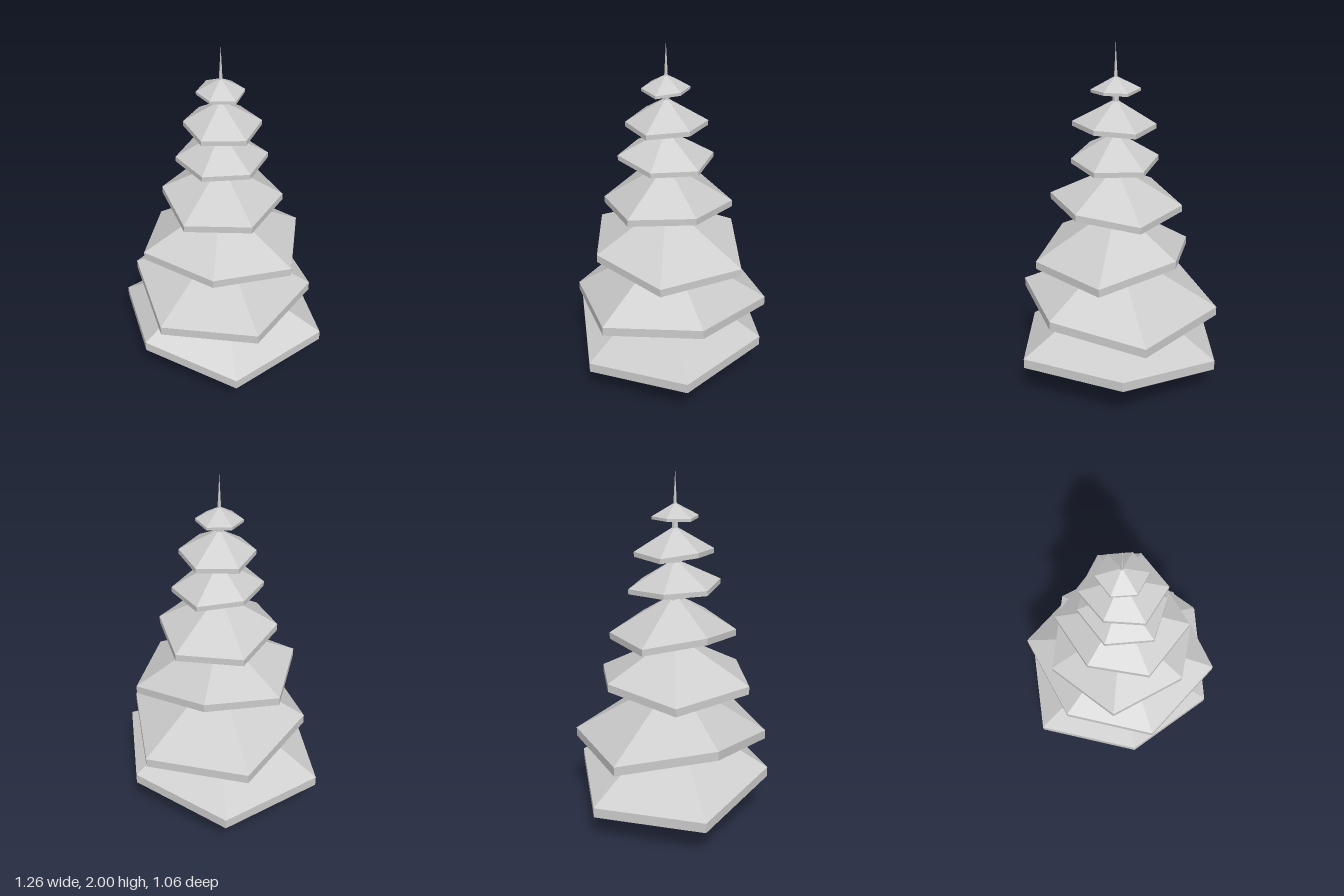
import * as THREE from 'three';

const material = new THREE.MeshStandardMaterial({ color: 0xcccccc, flatShading: true });

// One hollow six-sided bough layer: sloped top, thin rim, parallel underside.
// Each corner has its own reach (radii) and height (rimY).
function boughTier({ apex, thick, turn, radii, rimY }) {
  const n = radii.length;
  const top = [], low = [];
  for (let i = 0; i < n; i++) {
    const a = THREE.MathUtils.degToRad(turn + (i * 360) / n);
    const corner = new THREE.Vector3(radii[i] * Math.cos(a), rimY[i], radii[i] * Math.sin(a));
    top.push(corner);
    low.push(corner.clone().setY(rimY[i] - thick));
  }
  const tip = new THREE.Vector3(0, apex, 0);
  const innerTip = new THREE.Vector3(0, apex - thick, 0);
  const points = [];
  for (let i = 0; i < n; i++) {
    const j = (i + 1) % n;
    points.push(tip, top[j], top[i]);                             // upper slope
    points.push(top[i], top[j], low[j], top[i], low[j], low[i]);  // rim
    points.push(innerTip, low[i], low[j]);                        // underside
  }
  const geometry = new THREE.BufferGeometry().setFromPoints(points);
  geometry.computeVertexNormals();
  return new THREE.Mesh(geometry, material);
}

// Layers from the ground up; turn is the angle of the first corner from +x towards +z
const tiers = [
  { apex: 0.62, thick: 0.058, turn: 0,
    radii: [0.627, 0.577, 0.555, 0.637, 0.63, 0.577], rimY: [0.29, 0.24, 0.32, 0.24, 0.23, 0.29] },
  { apex: 0.83, thick: 0.053, turn: 48,
    radii: [0.57, 0.53, 0.51, 0.595, 0.581, 0.524], rimY: [0.55, 0.5, 0.58, 0.51, 0.49, 0.55] },
  { apex: 1.085, thick: 0.046, turn: 14.3,
    radii: [0.475, 0.428, 0.466, 0.44, 0.427, 0.493], rimY: [0.81, 0.85, 0.86, 0.82, 0.87, 0.81] },
  { apex: 1.325, thick: 0.038, turn: 43,
    radii: [0.376, 0.346, 0.325, 0.371, 0.366, 0.341], rimY: [1.14, 1.11, 1.155, 1.11, 1.1, 1.14] },
  { apex: 1.52, thick: 0.028, turn: 30,
    radii: [0.246, 0.264, 0.243, 0.235, 0.263, 0.259], rimY: [1.37, 1.39, 1.385, 1.38, 1.365, 1.365] },
  { apex: 1.7, thick: 0.027, turn: 36,
    radii: [0.237, 0.217, 0.196, 0.218, 0.225, 0.216], rimY: [1.575, 1.57, 1.585, 1.565, 1.565, 1.58] },
  { apex: 1.825, thick: 0.016, turn: 34,
    radii: [0.135, 0.129, 0.127, 0.132, 0.127, 0.125], rimY: [1.75, 1.755, 1.755, 1.76, 1.755, 1.76] },
];

export function createModel() {
  const tree = new THREE.Group();
  tree.name = 'firTree';

  // Six-sided trunk tapering into the spire at the top
  const profile = [
    [0, 0], [0.09, 0], [0.082, 0.6], [0.07, 1.07], [0.045, 1.33],
    [0.028, 1.53], [0.016, 1.72], [0.009, 1.83], [0, 2],
  ].map(([r, y]) => new THREE.Vector2(r, y));
  const trunk = new THREE.Mesh(new THREE.LatheGeometry(profile, 6), material);
  trunk.name = 'trunk';
  tree.add(trunk);

  // Layers of boughs
  tiers.forEach((tier, i) => {
    const mesh = boughTier(tier);
    mesh.name = `boughTier${i + 1}`;
    tree.add(mesh);
  });

  // The uneven boughs put the trunk slightly off the centre
  tree.position.set(0.003, 0, 0.025);
  const model = new THREE.Group();
  model.name = 'tree';
  model.add(tree);
  return model;
}
